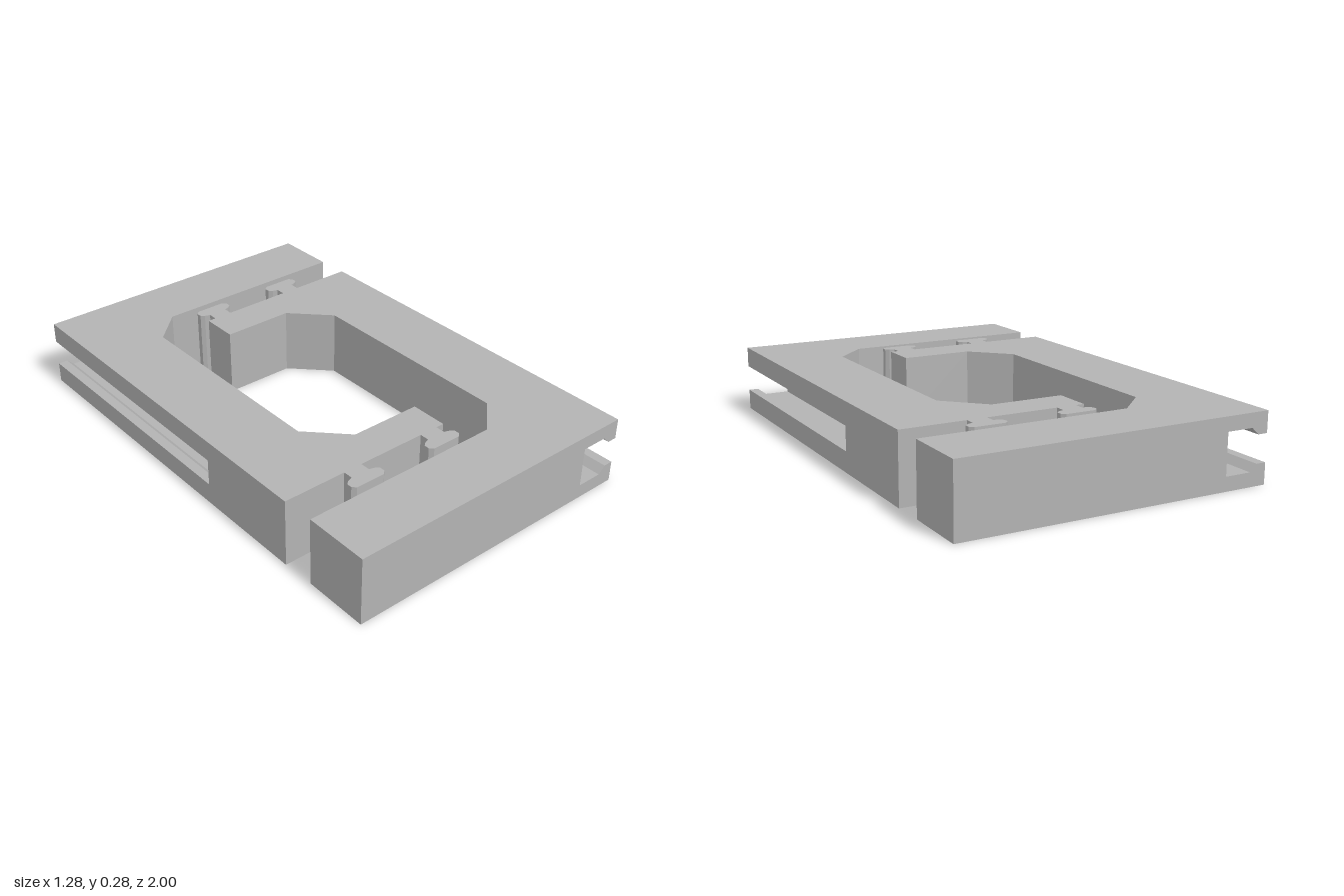
import * as THREE from 'three';
import { mergeGeometries } from 'three/addons/utils/BufferGeometryUtils.js';

const H = 0.28, EDGE = 0.64, SLOT_LENGTH = 1.14;
const X = new THREE.Vector3(1, 0, 0);
const Y = new THREE.Vector3(0, 1, 0);
const Z = new THREE.Vector3(0, 0, 1);

// Flat polygon placed in the plane spanned by u and v, facing u x v
function panel(points, origin, u, v) {
  const shape = new THREE.Shape(points.map(([a, b]) => new THREE.Vector2(a, b)));
  const n = new THREE.Vector3().crossVectors(u, v);
  const m = new THREE.Matrix4().makeBasis(u, v, n).setPosition(...origin);
  return new THREE.ShapeGeometry(shape).applyMatrix4(m);
}

// Rectangle starting at origin, running along u and v
function rect(origin, u, width, v, height) {
  return panel([[0, 0], [width, 0], [width, height], [0, height]], origin, u, v);
}

// Half profile of a T-shaped connector: [offset from centre, z]
const T_HALF = [[0.04, -0.605], [0.04, -0.645], [0.062, -0.652], [0.077, -0.664], [0.077, -0.686], [0.062, -0.7]];
const connector = (cx) => [
  ...T_HALF.map(([dx, z]) => [cx + dx, z]),
  ...T_HALF.slice().reverse().map(([dx, z]) => [cx - dx, z]),
];

function bracketGeometry() {
  // Plan outline [x, z]: outer side, short arm with connectors, inner side, long arm
  const outline = [
    [EDGE, 1], [EDGE, -0.605],
    ...connector(0.335), ...connector(-0.035),
    [-0.11, -0.605], [-0.11, -0.45], [0.19, -0.45], [0.34, -0.3],
    [0.34, 0.61], [0.21, 0.735], [-0.635, 0.735], [-0.635, 1],
  ];
  // T-slot section [x, y], open on the outer side
  const slot = [
    [EDGE, 0.085], [0.6, 0.085], [0.57, 0.057], [0.46, 0.057],
    [0.46, 0.223], [0.57, 0.223], [0.6, 0.195], [EDGE, 0.195],
  ];
  const back = Z.clone().negate();
  const faces = [
    // Top and bottom
    panel(outline.map(([x, z]) => [x, -z]), [0, H, 0], X, back),
    panel(outline, [0, 0, 0], X, Z),
    // Outer side, notched by the slot mouth
    panel([[0, 0], [1.605, 0], [1.605, H], [0, H], [0, 0.195],
      [SLOT_LENGTH, 0.195], [SLOT_LENGTH, 0.085], [0, 0.085]], [EDGE, 0, 1], back, Y),
    // End face, notched by the slot section
    panel([[-0.635, 0], [EDGE, 0], ...slot, [EDGE, H], [-0.635, H]], [0, 0, 1], X, Y),
    // Closed end of the slot
    panel(slot, [0, 0, 1 - SLOT_LENGTH], X, Y),
  ];
  // Remaining upright walls
  for (let i = 1; i < outline.length - 1; i++) {
    const [x, z] = outline[i], [x2, z2] = outline[i + 1];
    const d = new THREE.Vector3(x2 - x, 0, z2 - z), length = d.length();
    faces.push(rect([x, 0, z], d.normalize(), length, Y, H));
  }
  // Inner walls of the slot
  for (let i = 0; i < slot.length - 1; i++) {
    const [x, y] = slot[i], [x2, y2] = slot[i + 1];
    const d = new THREE.Vector3(x2 - x, y2 - y, 0), length = d.length();
    faces.push(rect([x, y, 1 - SLOT_LENGTH], d.normalize(), length, Z, SLOT_LENGTH));
  }
  return mergeGeometries(faces);
}

export function createModel() {
  const model = new THREE.Group();
  model.name = 'interlockingFrame';
  const grey = new THREE.MeshStandardMaterial({ color: 0xb3b3b3 });
  grey.name = 'grey';

  // Two identical brackets, half a turn apart
  const geometry = bracketGeometry();
  ['leftBracket', 'rightBracket'].forEach((name, i) => {
    const bracket = new THREE.Mesh(geometry, grey);
    bracket.name = name;
    bracket.rotation.y = i * Math.PI;
    model.add(bracket);
  });
  return model;
}
